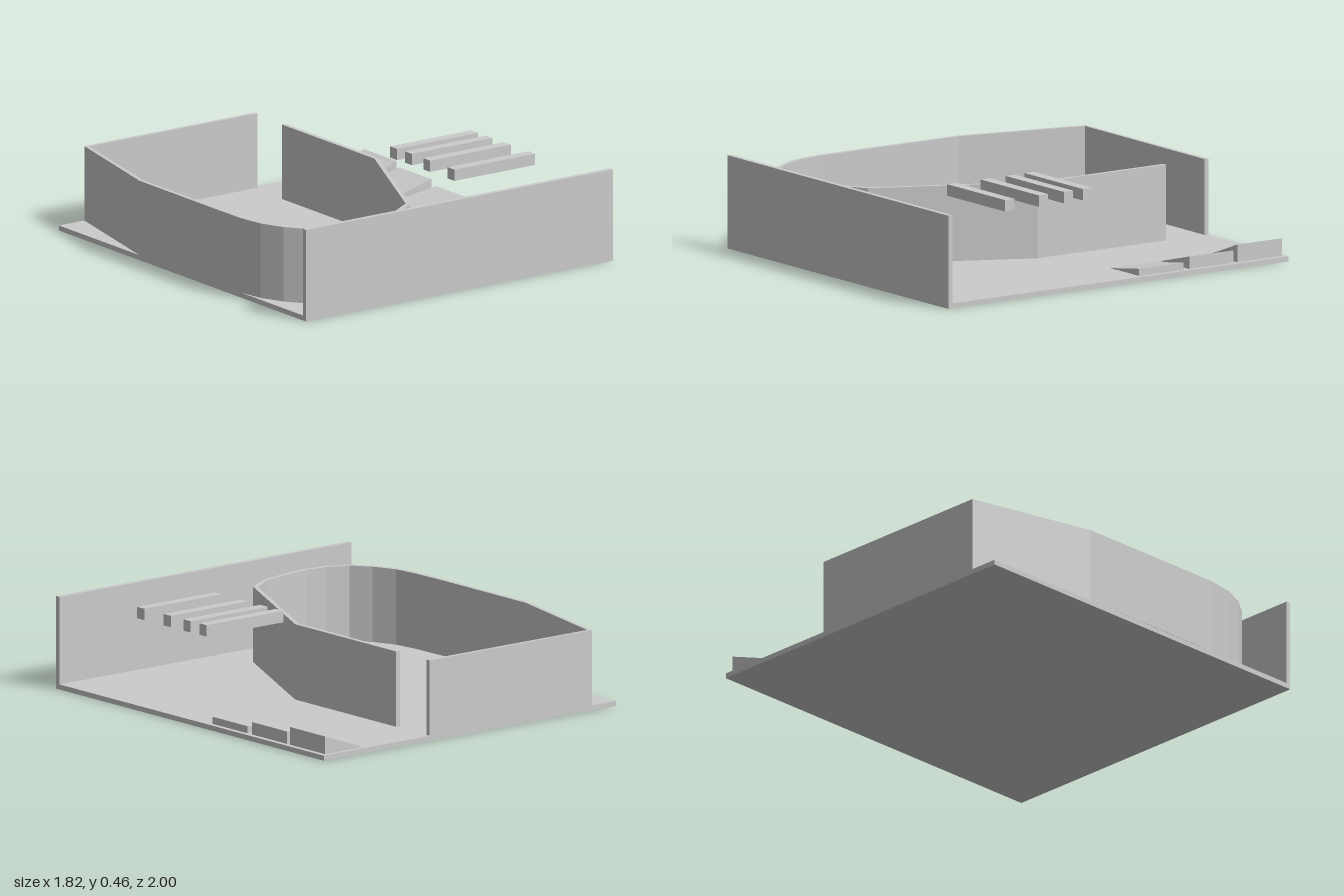
import * as THREE from 'three';

export function createModel() {
  const model = new THREE.Group();
  const material = new THREE.MeshStandardMaterial({ color: 0xcccccc, flatShading: true });
  const FLOOR = 0.025;

  const add = (name, geometry) => {
    const mesh = new THREE.Mesh(geometry, material);
    mesh.name = name;
    model.add(mesh);
    return mesh;
  };
  // Box given by its limits on each axis
  const addBox = (name, [x0, x1], [y0, y1], [z0, z1]) =>
    add(name, new THREE.BoxGeometry(x1 - x0, y1 - y0, z1 - z0))
      .position.set((x0 + x1) / 2, (y0 + y1) / 2, (z0 + z1) / 2);
  const shapeOf = (points) => new THREE.Shape(points.map(([a, b]) => new THREE.Vector2(a, b)));

  // Ground slab and tall front wall
  addBox('baseSlab', [-0.91, 0.91], [0, FLOOR], [-1, 1]);
  addBox('frontWall', [-0.91, 0.91], [FLOOR, 0.455], [0.975, 1]);

  // Enclosure wall: plan outline [x, z], outer side then inner side, open at the back right
  const outer = [
    [0.25, -1], [-0.76, -1], [-0.91, -0.35], [-0.912, 0.27], [-0.91, 0.47], [-0.89, 0.605],
    [-0.84, 0.72], [-0.765, 0.82], [-0.645, 0.867], [-0.53, 0.882], [-0.4, 0.867],
    [-0.235, 0.828], [-0.107, 0.748], [0.25, 0.005], [0.25, -0.75],
  ];
  const inner = [
    [0.228, -0.75], [0.228, 0], [-0.122, 0.73], [-0.245, 0.808], [-0.4, 0.845], [-0.53, 0.86],
    [-0.64, 0.845], [-0.75, 0.8], [-0.82, 0.71], [-0.87, 0.595], [-0.885, 0.47], [-0.89, 0.27],
    [-0.89, -0.347], [-0.745, -0.983], [0.25, -0.978],
  ];
  const plan = shapeOf([...outer, ...inner].map(([x, z]) => [x, -z]));
  const wall = add('enclosureWall',
    new THREE.ExtrudeGeometry(plan, { depth: 0.395 - FLOOR, bevelEnabled: false }).rotateX(-Math.PI / 2));
  wall.position.y = FLOOR;

  // Floating bars
  [[0.05, 0.105], [0.165, 0.22], [0.312, 0.367], [0.51, 0.565]].forEach((z, i) => {
    const shift = i === 0 ? -0.004 : 0;
    addBox(`floatingBar${i + 1}`, [0.289 + shift, 0.768 + shift], [0.402, 0.458], z);
  });

  // Wedge ramps, rising toward the side edge
  [[-0.4, -0.14, 0.06], [-0.695, -0.435, 0.086], [-0.98, -0.718, 0.112]].forEach(([z0, z1, top], i) => {
    const profile = shapeOf([[0.648, FLOOR], [0.885, FLOOR], [0.885, top]]);
    add(`ramp${i + 1}`, new THREE.ExtrudeGeometry(profile, { depth: z1 - z0, bevelEnabled: false }))
      .position.z = z0;
  });

  return model;
}
